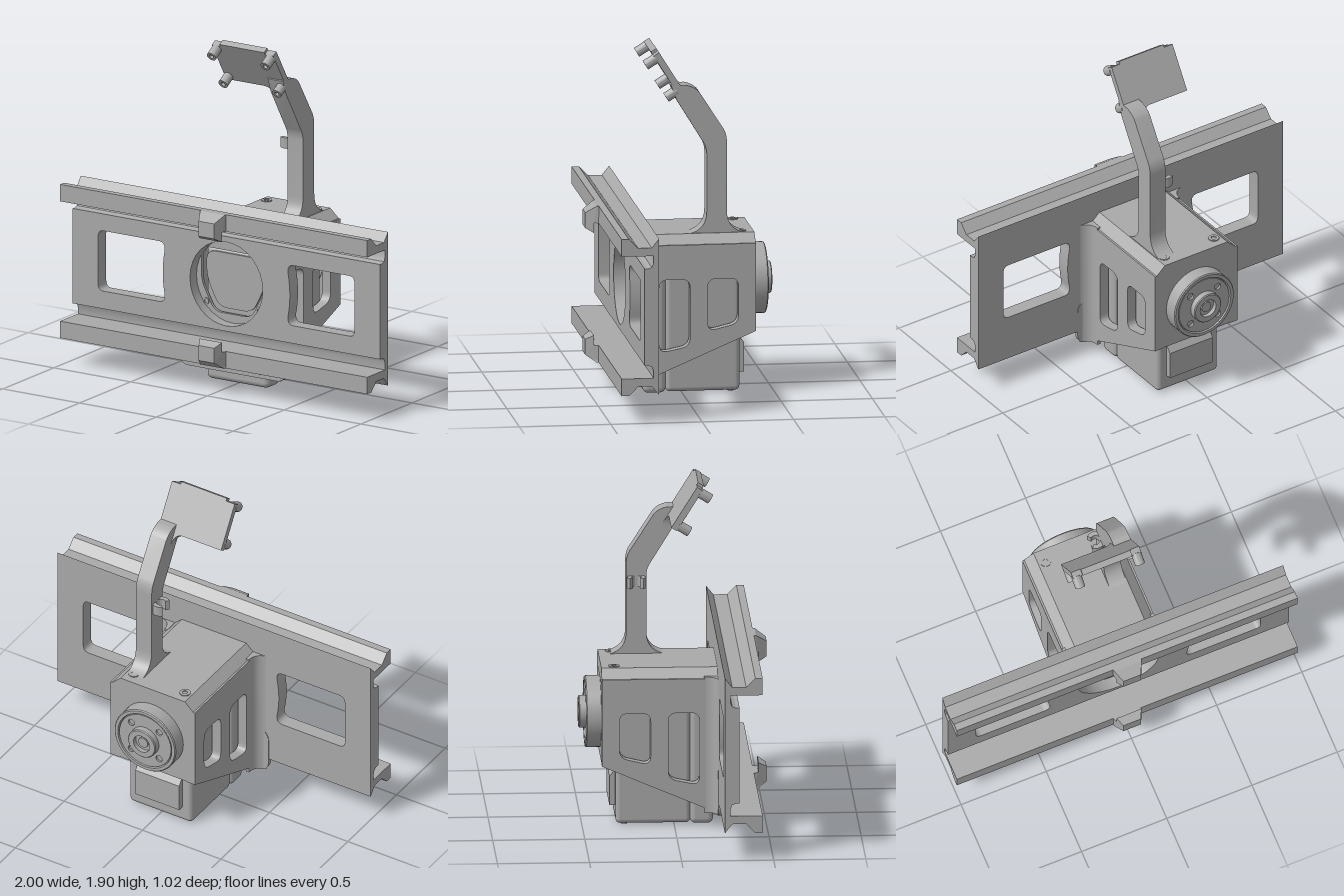
import * as THREE from 'three';
import { toCreasedNormals } from 'three/addons/utils/BufferGeometryUtils.js';
import { RoundedBoxGeometry } from 'three/addons/geometries/RoundedBoxGeometry.js';

const CY = 0.587; // height of the horn axis and of the rail symmetry plane

function poly(points, holes = []) {
  const s = new THREE.Shape(points.map(([a, b]) => new THREE.Vector2(a, b)));
  s.holes.push(...holes);
  return s;
}

// closed outline with every corner rounded
function rounded(points, r, Type = THREE.Path) {
  const p = points.map(([a, b]) => new THREE.Vector2(a, b));
  const path = new Type();
  p.forEach((c, i) => {
    const toward = (q) => c.clone().add(q.clone().sub(c).setLength(r));
    const a = toward(p[(i + p.length - 1) % p.length]);
    const b = toward(p[(i + 1) % p.length]);
    if (i === 0) path.moveTo(a.x, a.y);
    else path.lineTo(a.x, a.y);
    path.quadraticCurveTo(c.x, c.y, b.x, b.y);
  });
  path.closePath();
  return path;
}

function circle(x, y, r) {
  return new THREE.Path().absarc(x, y, r, 0, Math.PI * 2, true);
}

const extrude = (shape, depth) => toCreasedNormals(
  new THREE.ExtrudeGeometry(shape, { depth, bevelEnabled: false, curveSegments: 16 }), 0.5);
// outline in (x, y), between two z values
const alongZ = (shape, z0, z1) => extrude(shape, z1 - z0).translate(0, 0, z0);
// outline in (z, y), between two x values
const alongX = (shape, x0, x1) => extrude(shape, x1 - x0).rotateY(-Math.PI / 2).translate(x1, 0, 0);
// outline in (x, z), between two y values
const alongY = (shape, y0, y1) => extrude(shape, y1 - y0).rotateX(Math.PI / 2).translate(0, y1, 0);

export function createModel() {
  const model = new THREE.Group();
  const grey = new THREE.MeshStandardMaterial({ color: 0xa9a9a9 });
  grey.name = 'plain grey';
  const add = (name, geometry, parent = model) => {
    const m = new THREE.Mesh(geometry, grey);
    m.name = name;
    parent.add(m);
    return m;
  };

  // Web plate with a round opening and two windows whose inner edge follows an arc
  const web = poly([[-1, 0.32], [1, 0.32], [1, 0.855], [-1, 0.855]], [circle(0, CY, 0.237)]);
  for (const s of [-1, 1]) {
    const w = new THREE.Path();
    w.moveTo(s * 0.44, 0.76);
    w.lineTo(s * 0.80, 0.76);
    w.quadraticCurveTo(s * 0.835, 0.76, s * 0.835, 0.72);
    w.lineTo(s * 0.835, 0.46);
    w.quadraticCurveTo(s * 0.835, 0.42, s * 0.80, 0.42);
    w.lineTo(s * 0.44, 0.42);
    w.quadraticCurveTo(s * 0.395, 0.42, s * 0.402, 0.47);
    w.quadraticCurveTo(s * 0.425, CY, s * 0.402, 0.71);
    w.quadraticCurveTo(s * 0.395, 0.76, s * 0.44, 0.76);
    web.holes.push(w);
  }
  add('webPlate', alongZ(web, 0.235, 0.315));

  // Grooved rails and their central clips, mirrored top and bottom
  const railProfile = [[0.235, 0.85], [0.31, 0.85], [0.275, 0.862], [0.265, 0.885], [0.265, 0.925],
    [0.44, 0.925], [0.44, 1.02], [0.40, 1.02], [0.35, 0.97], [0.275, 0.97], [0.235, 1.02]];
  const clipProfile = [[0.43, 0.925], [0.465, 0.925], [0.465, 0.87], [0.51, 0.895],
    [0.51, 0.98], [0.45, 1.02], [0.43, 1.02]];
  for (const [label, flip] of [['upper', false], ['lower', true]]) {
    const m = (pts) => poly(pts.map(([z, y]) => [z, flip ? 2 * CY - y : y]));
    add(label + 'Rail', alongX(m(railProfile), -1, 1));
    const clip = alongX(m(clipProfile), -0.085, 0.085);
    const p = clip.attributes.position;
    for (let i = 0; i < p.count; i++) { // narrow the clip toward its nose
      const t = Math.max(0, (p.getZ(i) - 0.44) / 0.07);
      p.setX(i, p.getX(i) * (1 - 0.4 * t));
    }
    clip.computeVertexNormals();
    add(label + 'Clip', clip);
  }

  // Flange under the rail and the backing ring behind the round opening
  add('lowerFlange', alongZ(rounded([[-0.35, 0.07], [0.35, 0.07], [0.35, 0.34], [-0.35, 0.34]], 0.07, THREE.Shape), 0.232, 0.256));
  const ring = new THREE.Shape().absarc(0, CY, 0.25, 0, Math.PI * 2);
  ring.holes.push(rounded([[-0.205, 0.755], [0.205, 0.755], [0.205, 0.56], [0.12, 0.40], [-0.12, 0.40], [-0.205, 0.56]], 0.05));
  add('backingRing', alongZ(ring, 0.232, 0.25));

  // Housing side walls with two slots each and flared roots
  const wall = [[0.235, 0.075], [0.235, 0.83], [-0.395, 0.83], [-0.395, 0.345]];
  const slots = [
    [[0.135, 0.64], [-0.035, 0.64], [-0.035, 0.27], [0.135, 0.235]],
    [[-0.13, 0.64], [-0.30, 0.64], [-0.30, 0.39], [-0.13, 0.35]],
  ];
  for (const s of [-1, 1]) {
    const side = s > 0 ? 'left' : 'right';
    const shape = poly(wall, slots.map((h) => rounded(h, 0.05)));
    add(side + 'SideWall', alongX(shape, s > 0 ? 0.215 : -0.27, s > 0 ? 0.27 : -0.215));
    const flare = new THREE.Shape();
    flare.moveTo(s * 0.25, 0.236);
    flare.lineTo(s * 0.335, 0.236);
    flare.quadraticCurveTo(s * 0.272, 0.225, s * 0.269, 0.16);
    flare.lineTo(s * 0.25, 0.16);
    add(side + 'Flare', alongY(flare, 0.08, 0.84));
  }

  // Chamfered roof and rear wall
  add('roof', alongZ(poly([[-0.27, 0.82], [-0.215, 0.79], [0.215, 0.79], [0.27, 0.82], [0.205, 0.88], [-0.205, 0.88]]), -0.395, 0.235));
  add('rearWall', alongZ(poly([[-0.265, 0.347], [0.265, 0.347], [0.265, 0.82], [-0.265, 0.82]]), -0.394, -0.345));

  // Servo motor: main case, front cap and rear connector cover
  const box = (w, h, d, r, x, y, z) => new RoundedBoxGeometry(w, h, d, 3, r).translate(x, y, z);
  add('servoCase', box(0.4, 0.75, 0.405, 0.025, 0, 0.38, -0.114));
  add('servoFrontCap', box(0.405, 0.752, 0.125, 0.03, 0, 0.376, 0.15));
  add('servoFrontBoss', alongZ(rounded([[-0.19, 0.73], [0.19, 0.73], [0.19, 0.58], [0.11, 0.42], [-0.11, 0.42], [-0.19, 0.58]], 0.06, THREE.Shape), 0.2, 0.222));
  add('connectorCover', alongX(poly([[-0.30, 0.095], [-0.30, 0.30], [-0.318, 0.295], [-0.348, 0.255], [-0.348, 0.095]]), -0.14, 0.14));

  // Output horn: stepped disc with a rim, four holes and a bored hub
  const V = (pts) => pts.map(([r, h]) => new THREE.Vector2(r, h));
  const face = new THREE.Shape().absarc(0, CY, 0.165, 0, Math.PI * 2);
  for (let i = 0; i < 4; i++) {
    const a = Math.PI / 4 + i * Math.PI / 2;
    face.holes.push(circle(0.125 * Math.cos(a), CY + 0.125 * Math.sin(a), 0.02));
  }
  add('hornFace', alongZ(face, -0.472, -0.44));
  const lathe = (pts) => toCreasedNormals(new THREE.LatheGeometry(V(pts), 48), 0.5)
    .rotateX(-Math.PI / 2).translate(0, CY, 0);
  add('hornDisc', lathe([[0.195, 0.34], [0.195, 0.47], [0.19, 0.476], [0.172, 0.476], [0.168, 0.46], [0, 0.46]]));
  add('hornHub', lathe([[0.088, 0.465], [0.088, 0.505], [0.083, 0.51], [0.052, 0.51], [0.052, 0.485], [0.03, 0.485], [0.03, 0.495], [0, 0.495]]));

  // Bent arm rising from the roof
  const arm = new THREE.Shape();
  arm.moveTo(-0.02, 0.875);
  arm.quadraticCurveTo(-0.135, 0.89, -0.135, 1.0);
  arm.lineTo(-0.135, 1.315);
  arm.quadraticCurveTo(-0.135, 1.35, -0.118, 1.38);
  arm.lineTo(0.03, 1.62);
  arm.lineTo(0.06, 1.70);
  arm.lineTo(0.035, 1.72);
  arm.quadraticCurveTo(0.02, 1.695, -0.02, 1.70);
  arm.quadraticCurveTo(-0.07, 1.69, -0.095, 1.66);
  arm.lineTo(-0.22, 1.465);
  arm.quadraticCurveTo(-0.245, 1.43, -0.245, 1.38);
  arm.lineTo(-0.245, 1.0);
  arm.quadraticCurveTo(-0.245, 0.89, -0.36, 0.875);
  add('arm', alongX(arm, 0.1, 0.2));

  // Cable hook on the arm
  const hook = new THREE.Shape();
  hook.absarc(0.075, -0.19, 0.05, -2.3, 2.3);
  hook.absarc(0.075, -0.19, 0.026, 2.3, -2.3, true);
  add('cableHook', alongY(hook, 1.255, 1.315));

  // Tilted camera plate, drawn flat and leaned forward, with four hollow pegs
  const head = new THREE.Group();
  head.name = 'cameraMount';
  head.position.set(0, 1.66, -0.015);
  head.rotation.x = Math.atan2(0.53, 0.85);
  model.add(head);
  const plate = new THREE.Shape();
  plate.moveTo(-0.2, 0);
  plate.lineTo(0.04, 0);
  plate.quadraticCurveTo(0.1, 0, 0.1, -0.08);
  plate.lineTo(0.2, -0.08);
  for (const [x, y] of [[0.2, 0.265], [0.145, 0.265], [0.145, 0.28], [-0.145, 0.28], [-0.145, 0.265], [-0.2, 0.265]]) plate.lineTo(x, y);
  add('cameraPlate', alongZ(plate, 0, 0.036), head);
  const peg = new THREE.Shape().absarc(0, 0, 0.028, 0, Math.PI * 2);
  peg.holes.push(circle(0, 0, 0.014));
  for (const x of [-0.175, 0.175]) {
    for (const y of [0.028, 0.242]) add('peg', alongZ(peg, 0.03, 0.1).translate(x, y, 0), head);
  }

  // Screws: roof, backing ring, flange and servo underside
  const screw = new THREE.Shape().absarc(0, 0, 0.03, 0, Math.PI * 2);
  screw.holes.push(circle(0, 0, 0.014));
  const small = new THREE.Shape().absarc(0, 0, 0.018, 0, Math.PI * 2);
  small.holes.push(circle(0, 0, 0.01));
  for (const x of [-1, 1]) {
    add('roofScrew', alongY(screw, 0.87, 0.885).translate(x * 0.163, 0, -0.325));
    add('ringScrew', alongZ(small, 0.24, 0.256).translate(x * 0.172, 0.45, 0));
    add('flangeScrew', alongZ(small, 0.25, 0.26).translate(x * 0.172, 0.105, 0));
    for (const z of [-0.27, 0.17]) add('servoScrew', alongY(small, 0, 0.02).translate(x * 0.16, 0, z));
  }
  return model;
}
